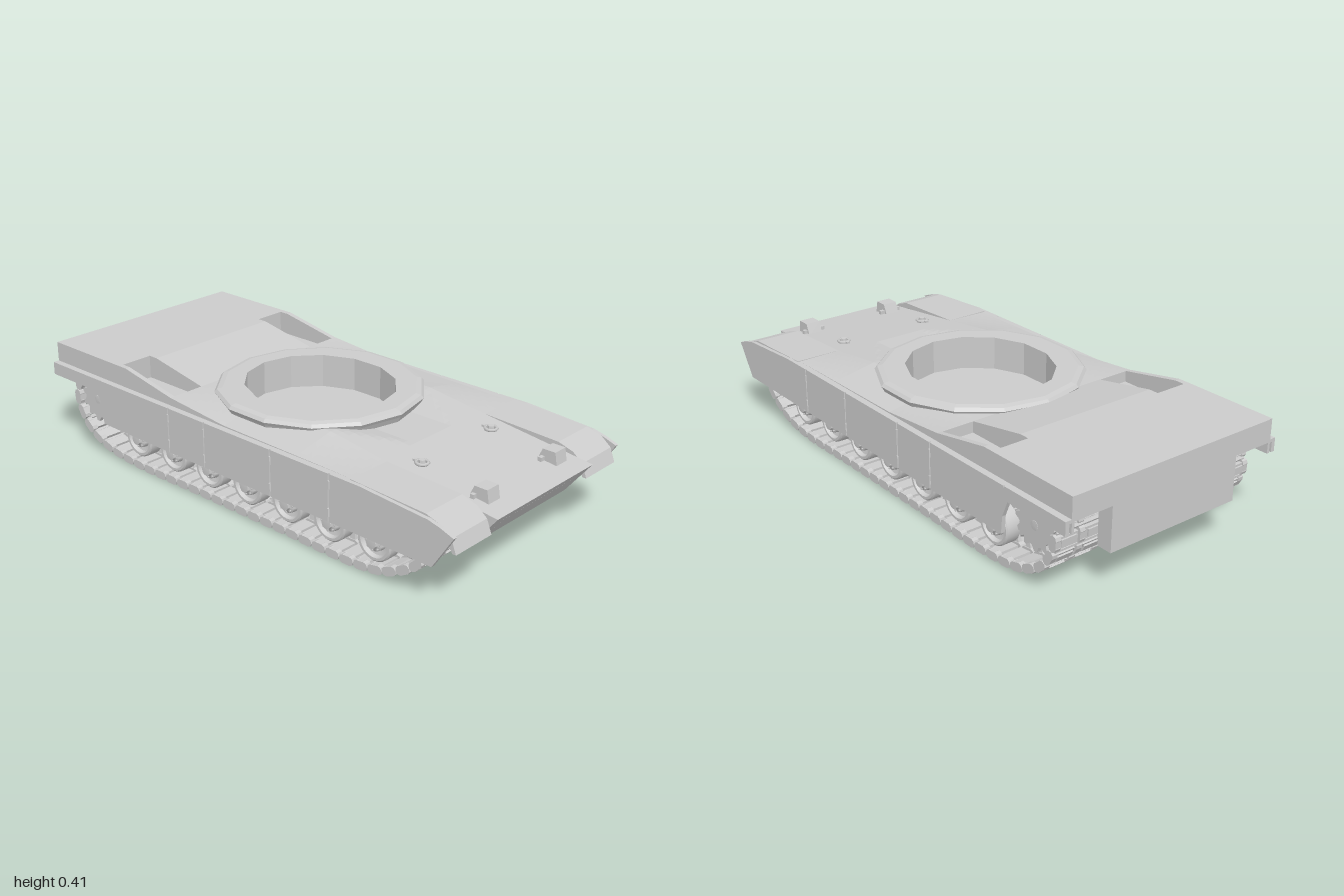
import * as THREE from 'three';
import { mergeGeometries, toCreasedNormals } from 'three/addons/utils/BufferGeometryUtils.js';

const flat = new THREE.MeshStandardMaterial({ color: 0xcccccc, flatShading: true, side: THREE.DoubleSide });
const smooth = new THREE.MeshStandardMaterial({ color: 0xcccccc, side: THREE.DoubleSide });

function add(parent, name, geometry, material = flat) {
  const mesh = new THREE.Mesh(geometry, material);
  mesh.name = name;
  parent.add(mesh);
  return mesh;
}

// Box given by its limits on each axis
function box(x0, x1, y0, y1, z0, z1) {
  return new THREE.BoxGeometry(Math.abs(x1 - x0), y1 - y0, Math.abs(z1 - z0))
    .translate((x0 + x1) / 2, (y0 + y1) / 2, (z0 + z1) / 2);
}

// Side profile of [z, y] points, extruded across from x0 to x1
function side(points, x0, x1) {
  const shape = new THREE.Shape(points.map(([z, y]) => new THREE.Vector2(z, y)));
  return new THREE.ExtrudeGeometry(shape, { depth: Math.abs(x1 - x0), bevelEnabled: false })
    .rotateY(-Math.PI / 2).translate(Math.max(x0, x1), 0, 0);
}

// Solid turned about the x axis, from [radius, x] points
function turned(points, segments = 24) {
  const g = new THREE.LatheGeometry(points.map(([r, x]) => new THREE.Vector2(r, x)), segments);
  return toCreasedNormals(g.rotateZ(-Math.PI / 2), 0.6);
}

// Deck height along z, in the middle and at the outer edge
const MIDDLE = [[-1, .407], [-.58, .407], [-.33, .36], [.3, .365], [.53, .335], [1, .28]];
const EDGE = [[-1, .407], [-.58, .407], [-.33, .36], [-.05, .335], [.55, .33], [1, .28]];

function lookUp(table, z) {
  const i = Math.max(1, table.findIndex(p => p[0] >= z - 1e-6));
  const [a, b] = [table[i - 1], table[i]];
  return THREE.MathUtils.lerp(a[1], b[1], (z - a[0]) / (b[0] - a[0]));
}

function deckHeight(x, z) {
  const t = THREE.MathUtils.clamp((Math.abs(x) - .27) / .17, 0, 1);
  const y = THREE.MathUtils.lerp(lookUp(MIDDLE, z), lookUp(EDGE, z), t);
  return z > .2 ? Math.min(y, .335 + .2 * Math.max(0, Math.abs(x) - .1)) : y;
}

// Splits the spans between break points into small steps
function divide(breaks, step) {
  const out = [breaks[0]];
  for (let i = 1; i < breaks.length; i++) {
    const n = Math.ceil((breaks[i] - breaks[i - 1]) / step - 1e-6);
    for (let k = 1; k <= n; k++) out.push(THREE.MathUtils.lerp(breaks[i - 1], breaks[i], k / n));
  }
  return out;
}

// Deck surface with openings for the ring, the rear pits and the fenders
function deckGeometry() {
  const xs = divide([-.44, -.42, -.29, -.27, -.1, .1, .27, .29, .42, .44], .03);
  const zs = divide([-1, -.62, -.58, -.33, -.05, .2, .3, .53, .55, 1], .03);
  const pos = [], index = [];
  for (const z of zs) for (const x of xs) pos.push(x, deckHeight(x, z), z);
  for (let j = 0; j < zs.length - 1; j++) for (let i = 0; i < xs.length - 1; i++) {
    const x = Math.abs(xs[i] + xs[i + 1]) / 2, z = (zs[j] + zs[j + 1]) / 2;
    const inRing = Math.hypot(x / .32, z / .34) < 1;
    const inPit = x > .29 && x < .42 && z > -.62 && z < -.33;
    const inFender = x > .27 && z > .55;
    if (inRing || inPit || inFender) continue;
    const a = j * xs.length + i, b = a + 1, c = a + xs.length, d = c + 1;
    index.push(a, c, b, b, c, d);
  }
  const g = new THREE.BufferGeometry();
  g.setAttribute('position', new THREE.Float32BufferAttribute(pos, 3));
  g.setIndex(index);
  g.computeVertexNormals();
  return g;
}

function buildHull(hull) {
  add(hull, 'deck', deckGeometry());
  add(hull, 'tub', side([[.9, .15], [.97, .24], [.97, .25], [-.98, .25], [-.98, .155]], -.2, .2));
  add(hull, 'bellyPlate', box(-.19, .19, .145, .152, -.9, .85));
  add(hull, 'nose', side([[1, .279], [.9, .15], [.87, .15], [.87, .285], [.55, .285], [.55, .332]], -.27, .27));
  add(hull, 'rearPlate', box(-.275, .275, .155, .4, -1, -.94));
  add(hull, 'rearUpperPlate', box(-.44, .44, .32, .406, -1, -.97));

  // Faceted turret ring, its opening a little narrower across
  const ring = new THREE.LatheGeometry([[.37, .33], [.382, .355], [.39, .368], [.38, .379], [.36, .384],
    [.293, .384], [.293, .255], [.001, .255]].map(p => new THREE.Vector2(...p)), 14);
  const p = ring.attributes.position;
  for (let i = 0; i < p.count; i++)
    if (Math.hypot(p.getX(i), p.getZ(i)) < .3) p.setX(i, p.getX(i) * .92);
  add(hull, 'turretRing', ring);

  for (const s of [1, -1]) {
    const edge = EDGE.slice(0, 5);
    add(hull, 'sponsonSide', side([[-1, .28], ...edge, [.55, .28]], s * .43, s * .44));
    add(hull, 'sponsonFloor', box(s * .27, s * .44, .305, .312, -.97, .6));
    add(hull, 'fender', side([[.55, .333], [.86, .32], [.92, .302], [.96, .27], [.98, .22],
      [.965, .22], [.945, .26], [.91, .285], [.85, .3], [.55, .3]], s * .27, s * .45));

    // Sunken pits in the rear slope
    const wall = [[-.62, .313], [-.62, .406], [-.58, .406], [-.33, .36], [-.33, .313]];
    add(hull, 'pitFloor', box(s * .29, s * .42, .31, .318, -.62, -.33));
    add(hull, 'pitInnerWall', side(wall, s * .286, s * .29));
    add(hull, 'pitOuterWall', side(wall, s * .42, s * .424));
    add(hull, 'pitRearWall', box(s * .29, s * .42, .313, .406, -.625, -.62));
    add(hull, 'pitFrontWall', box(s * .29, s * .42, .313, .359, -.33, -.325));

    // Lamp blocks and lifting eyes on the front slope
    add(hull, 'lampBlock', side([[.93, .28], [.92, .335], [.87, .335], [.85, .29]], s * .16, s * .22));
    add(hull, 'lampBracket', box(s * .14, s * .235, .295, .31, .865, .88));
    add(hull, 'liftingEye', new THREE.TorusGeometry(.021, .006, 6, 12).rotateX(Math.PI / 2)
      .translate(s * .19, .329, .635), smooth);
    add(hull, 'liftingEyeBolt', new THREE.CylinderGeometry(.012, .014, .022, 8).translate(s * .19, .329, .635));
    add(hull, 'liftingEyeTab', box(s * .183, s * .197, .32, .334, .6, .62));
  }
}

function buildSkirt(parent, s) {
  const panels = [
    [[.98, .282], [.9, .155], [.473, .155], [.473, .33], [.6, .33], [.88, .312], [.93, .3]],
    ...[[.467, .203], [.197, -.127], [-.133, -.317]].map(([a, b]) => [[a, .155], [a, .33], [b, .33], [b, .155]]),
    [[-.323, .155], [-.323, .33], [-.71, .33], [-.73, .28], [-.705, .22], [-.7, .155]],
    [[-.713, .28], [-.713, .33], [-1, .33], [-1, .28]],
  ];
  for (const panel of panels) add(parent, 'skirtPanel', side(panel, s * .45, s * .465));
  add(parent, 'skirtLedge', box(s * .43, s * .46, .318, .33, -1, .55));
  for (const z of [.47, .2, -.13, -.32])
    for (const y of [.19, .29])
      add(parent, 'skirtHinge', new THREE.CylinderGeometry(.005, .005, .03, 6).translate(s * .464, y, z));
}

// One double wheel: two dished discs on an axle with raised hub caps
function wheelGeometry(r) {
  const disc = [[0, -.03], [r * .9, -.03], [r, -.025], [r, .025], [r * .93, .03], [r * .8, .03], [r * .74, .014],
    [r * .52, .01], [r * .48, .028], [r * .32, .034], [r * .28, .044], [0, .046]];
  const outer = turned(disc);
  const parts = [outer.clone().translate(.05, 0, 0), outer.clone().rotateY(Math.PI).translate(-.05, 0, 0)];
  for (let i = 0; i < 8; i++) {
    const a = i * Math.PI / 4;
    const bolt = new THREE.CylinderGeometry(r * .05, r * .05, .172, 6).rotateZ(Math.PI / 2);
    parts.push(bolt.toNonIndexed().translate(0, Math.cos(a) * r * .4, Math.sin(a) * r * .4));
  }
  return mergeGeometries(parts);
}

// Toothed drive disc
function sprocketGeometry() {
  const pts = [], teeth = 11;
  for (let i = 0; i < teeth * 4; i++) {
    const a = i / (teeth * 4) * Math.PI * 2, r = i % 4 < 2 ? .092 : .074;
    pts.push([Math.cos(a) * r, Math.sin(a) * r]);
  }
  return side(pts, -.008, .008);
}

// One track link: two pads, three end connectors, pins and a guide tooth
function linkGeometry() {
  const parts = [];
  for (const x of [-.055, .055]) {
    parts.push(new THREE.BoxGeometry(.078, .022, .042).translate(x, 0, 0));
    parts.push(new THREE.BoxGeometry(.064, .008, .026).translate(x, -.013, 0));
  }
  for (const x of [-.1, 0, .1]) {
    for (const z of [-.014, .014])
      parts.push(new THREE.CylinderGeometry(.017, .017, .022, 8).rotateZ(Math.PI / 2).translate(x, 0, z));
    parts.push(new THREE.BoxGeometry(.022, .032, .028).translate(x, 0, 0));
  }
  parts.push(new THREE.CylinderGeometry(.008, .008, .2, 6).rotateZ(Math.PI / 2).translate(0, 0, .031));
  parts.push(new THREE.CylinderGeometry(.011, .019, .028, 4).rotateY(Math.PI / 4).scale(.6, 1, 1).translate(0, .026, 0));
  return mergeGeometries(parts);
}

function buildTrack(parent, s) {
  const cx = s * .32;
  // Loop runs rearwards on the ground, so the local +y of each link points inwards
  const loop = new THREE.CatmullRomCurve3([[.58, .02], [.2, .02], [-.2, .02], [-.6, .02], [-.76, .045], [-.86, .105],
    [-.905, .2], [-.88, .27], [-.8, .3], [-.65, .275], [-.3, .24], [.3, .232], [.65, .25], [.76, .262], [.83, .23],
    [.845, .17], [.81, .11], [.7, .045]].map(([z, y]) => new THREE.Vector3(cx, y, z)), true, 'centripetal');
  loop.arcLengthDivisions = 800;
  const link = linkGeometry(), links = [], count = 60;
  for (let i = 0; i < count; i++) {
    const p = loop.getPointAt(i / count), t = loop.getTangentAt(i / count);
    const back = t.clone().negate();
    const up = new THREE.Vector3().crossVectors(back, new THREE.Vector3(1, 0, 0));
    links.push(link.clone().applyMatrix4(
      new THREE.Matrix4().makeBasis(new THREE.Vector3(1, 0, 0), up, back).setPosition(p)));
  }
  add(parent, 'trackLinks', mergeGeometries(links));

  const wheel = wheelGeometry(.073);
  for (let i = 0; i < 7; i++) {
    const z = .61 - i * .198;
    add(parent, 'roadWheel', wheel, smooth).position.set(cx, .108, z);
    add(parent, 'axle', new THREE.CylinderGeometry(.018, .018, .16, 10).rotateZ(Math.PI / 2)
      .translate(s * .24, .108, z), smooth);
    add(parent, 'suspensionArm', side([[z - .02, .09], [z - .02, .125], [z + .1, .19], [z + .1, .155]], s * .195, s * .215));
  }
  add(parent, 'idlerWheel', wheel, smooth).position.set(cx, .175, .76);
  add(parent, 'sprocketHub', wheelGeometry(.062), smooth).position.set(cx, .212, -.8);
  for (const x of [-.085, .085])
    add(parent, 'sprocketDisc', sprocketGeometry()).position.set(cx + x, .212, -.8);
  for (const [y, z] of [[.212, -.8], [.175, .76]])
    add(parent, 'driveAxle', new THREE.CylinderGeometry(.03, .03, .14, 12).rotateZ(Math.PI / 2)
      .translate(s * .25, y, z), smooth);
}

export function createModel() {
  const model = new THREE.Group();
  model.name = 'trackedVehicleHull';
  const group = name => {
    const g = new THREE.Group();
    g.name = name;
    model.add(g);
    return g;
  };
  buildHull(group('hull'));
  for (const [s, label] of [[1, 'left'], [-1, 'right']]) {
    buildSkirt(group(label + 'Skirt'), s);
    buildTrack(group(label + 'Track'), s);
  }
  return model;
}
